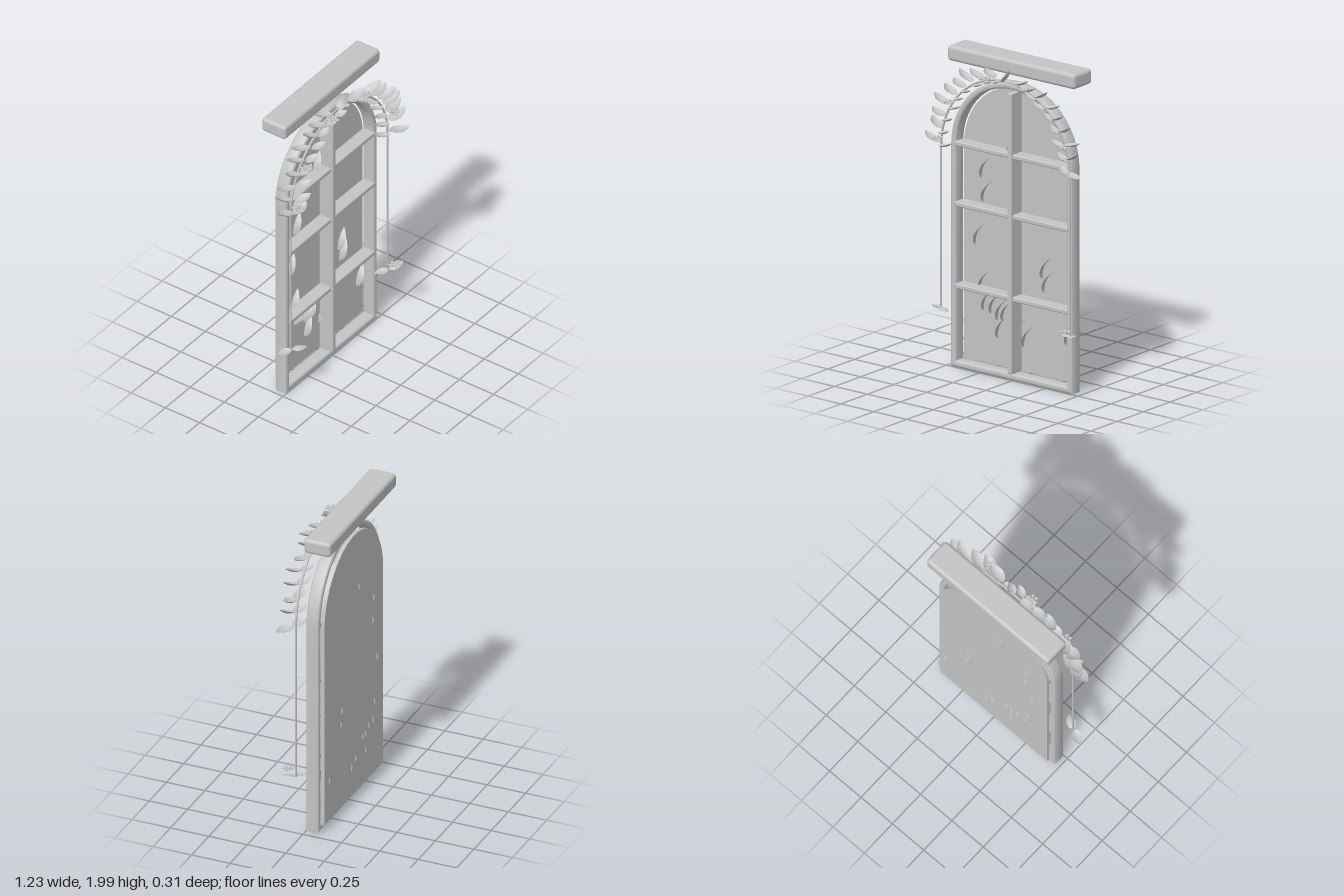
import * as THREE from 'three';
import { toCreasedNormals } from 'three/addons/utils/BufferGeometryUtils.js';
import { RoundedBoxGeometry } from 'three/addons/geometries/RoundedBoxGeometry.js';

const CX = -0.007; // centre line of the window
const ARCH_Y = 1.39; // height where the arch springs
const VINE_R = 0.49;
const VINE_Z = 0.053;

const clay = new THREE.MeshStandardMaterial({ color: 0xc4c4c4, side: THREE.DoubleSide });
clay.name = 'plain grey';

function add(parent, name, geometry, x = 0, y = 0, z = 0) {
  const mesh = new THREE.Mesh(geometry, clay);
  mesh.name = name;
  mesh.position.set(x, y, z);
  parent.add(mesh);
  return mesh;
}

// Round-topped outline
function archPath(Type, half, bottom, springY) {
  const p = new Type();
  p.moveTo(-half, bottom);
  p.lineTo(half, bottom);
  p.lineTo(half, springY);
  p.absarc(0, springY, half, 0, Math.PI, false);
  p.lineTo(-half, bottom);
  return p;
}

// Cupped, bowed leaf running along +x with its width along z
function leafGeometry(length, width, bow, cup) {
  const g = new THREE.PlaneGeometry(1, 1, 10, 6);
  const p = g.attributes.position;
  for (let i = 0; i < p.count; i++) {
    const t = p.getX(i) + 0.5;
    const s = p.getY(i) * 2;
    const w = Math.pow(Math.sin(Math.PI * Math.pow(t, 0.85)), 0.8) || 0;
    const y = bow * Math.sin(Math.PI * t) + cup * w * s * s;
    p.setXYZ(i, t * length, y, -s * w * width / 2);
  }
  g.computeVertexNormals();
  return g;
}

function addLeaf(parent, geometry, name, x, y, z, angle, yaw = 0, roll = 0) {
  const leaf = add(parent, name, geometry, x, y, z);
  leaf.rotation.order = 'ZYX';
  leaf.rotation.set(roll, yaw, angle);
  return leaf;
}

// Ring of small flat petals round a button
function addFlower(parent, x, y, z) {
  const flower = new THREE.Group();
  flower.name = 'flower';
  flower.position.set(x, y, z);
  const petal = new THREE.SphereGeometry(0.013, 10, 6);
  add(flower, 'flowerCentre', petal).scale.set(0.8, 0.6, 0.8);
  for (let i = 0; i < 6; i++) {
    const a = i * Math.PI / 3;
    const m = add(flower, 'petal', petal, Math.cos(a) * 0.025, 0, Math.sin(a) * 0.025);
    m.rotation.y = -a;
    m.scale.set(1.05, 0.4, 0.8);
  }
  parent.add(flower);
}

function buildWindow() {
  const win = new THREE.Group();
  win.name = 'window';
  win.position.x = CX;

  // Arched frame with rounded edges
  const bevel = 0.016;
  const outline = archPath(THREE.Shape, 0.463 - bevel, 0.008 + bevel, ARCH_Y);
  outline.holes.push(archPath(THREE.Path, 0.422 + bevel, 0.05 - bevel, ARCH_Y));
  const frame = new THREE.ExtrudeGeometry(outline, {
    depth: 0.083 - 2 * bevel, bevelSize: bevel, bevelThickness: bevel, bevelSegments: 4, curveSegments: 40,
  });
  add(win, 'frame', toCreasedNormals(frame, 0.6), 0, 0, -0.081 + bevel);

  // Pane set behind the frame
  const pane = new THREE.ExtrudeGeometry(archPath(THREE.Shape, 0.425, 0.05, 1.377), {
    depth: 0.022, bevelEnabled: false, curveSegments: 40,
  });
  add(win, 'pane', toCreasedNormals(pane, 0.6), 0, 0, -0.104);

  // Glazing bars
  add(win, 'uprightBar', new RoundedBoxGeometry(0.034, 1.745, 0.1, 3, 0.008), 0, 0.9225, -0.03);
  for (const y of [1.4, 1.025, 0.515])
    add(win, 'crossBar', new RoundedBoxGeometry(0.865, 0.03, 0.085, 3, 0.008), 0, y, -0.036);
  return win;
}

function buildVine() {
  const vine = new THREE.Group();
  vine.name = 'vine';

  // Stem: up one side, over the arch and down the other
  const arc = [];
  for (let i = 0; i <= 24; i++) {
    const a = Math.PI * (1 - i / 24);
    arc.push(new THREE.Vector3(CX + Math.cos(a) * VINE_R, ARCH_Y + Math.sin(a) * VINE_R, VINE_Z));
  }
  add(vine, 'archStem', new THREE.TubeGeometry(new THREE.CatmullRomCurve3(arc), 72, 0.007, 8));
  for (const s of [-1, 1])
    add(vine, 'hangingStem', new THREE.CylinderGeometry(0.006, 0.006, 1.02, 8), CX + s * VINE_R, 0.89, VINE_Z);

  // Pairs of leaves along the arch, mirrored about the crown
  const leaf = leafGeometry(0.135, 0.078, -0.016, 0.014);
  const perSide = 9;
  for (const s of [-1, 1]) {
    for (let i = 0; i < perSide; i++) {
      const a = (i + 0.1) / perSide * Math.PI / 2;
      const x = CX + s * Math.cos(a) * VINE_R;
      const y = ARCH_Y + Math.sin(a) * VINE_R;
      const lift = s > 0 && i === 0 ? -0.05 : 0.36 + 0.12 * Math.sin(i * 2.3);
      const sway = 0.3 + 0.2 * Math.sin(i * 1.9 + s);
      const out = s > 0 ? lift : Math.PI - lift;
      const inward = s > 0 ? Math.PI - 0.3 : 0.3;
      addLeaf(vine, leaf, 'outerLeaf', x, y + 0.012, VINE_Z + 0.014, out, s > 0 ? -sway : sway, s > 0 ? 0 : Math.PI);
      const inner = addLeaf(vine, leaf, 'innerLeaf', x, y - 0.005, VINE_Z + 0.022, inward,
        s > 0 ? sway : -sway, s > 0 ? Math.PI : 0);
      inner.scale.setScalar(0.88 - 0.03 * i);
    }
  }
  // Crown leaf
  addLeaf(vine, leaf, 'crownLeaf', CX - 0.02, 1.87, VINE_Z + 0.01, 1.0).scale.setScalar(0.75);

  // Drooping leaf pairs at the ends of the hanging stems
  const droop = leafGeometry(0.1, 0.06, 0.01, -0.01);
  for (const s of [-1, 1]) {
    const x = CX + s * VINE_R;
    addLeaf(vine, droop, 'endLeaf', x, 0.385, VINE_Z + 0.01, s > 0 ? 0.35 : -0.08, -0.5);
    addLeaf(vine, droop, 'endLeaf', x, 0.385, VINE_Z + 0.01, Math.PI + 0.08, 0.5, Math.PI).scale.y = -1;
  }

  // Flowers
  for (const [x, y] of [[-0.49, 1.45], [-0.4, 1.69], [-0.13, 1.885], [0.19, 1.875], [0.485, 1.57], [0.485, 0.43]])
    addFlower(vine, x, y, 0.1);
  return vine;
}

// Slim curved leaves piercing the pane
function buildPaneLeaves() {
  const group = new THREE.Group();
  group.name = 'paneLeaves';
  const blade = leafGeometry(0.15, 0.08, 0.02, -0.008);
  const spots = [
    [-0.06, 1.445], [-0.27, 1.265], [-0.26, 1.115], [-0.318, 0.84], [0.19, 0.725], [0.205, 0.64],
    [-0.28, 0.555], [-0.257, 0.44], [-0.2, 0.43], [-0.15, 0.4], [-0.15, 0.29], [-0.11, 0.4],
    [-0.005, 0.305], [0.05, 0.27], [0.375, 0.345],
  ];
  for (const [x, y] of spots)
    addLeaf(group, blade, 'paneLeaf', x - 0.025, y - 0.07, -0.078, 1.14);
  return group;
}

export function createModel() {
  const model = new THREE.Group();
  model.name = 'archedWindow';
  model.add(buildWindow(), buildVine(), buildPaneLeaves());
  // Beam floating above the arch
  add(model, 'topBeam', new RoundedBoxGeometry(0.97, 0.095, 0.175, 4, 0.022), -0.007, 1.9525, -0.08);
  return model;
}
